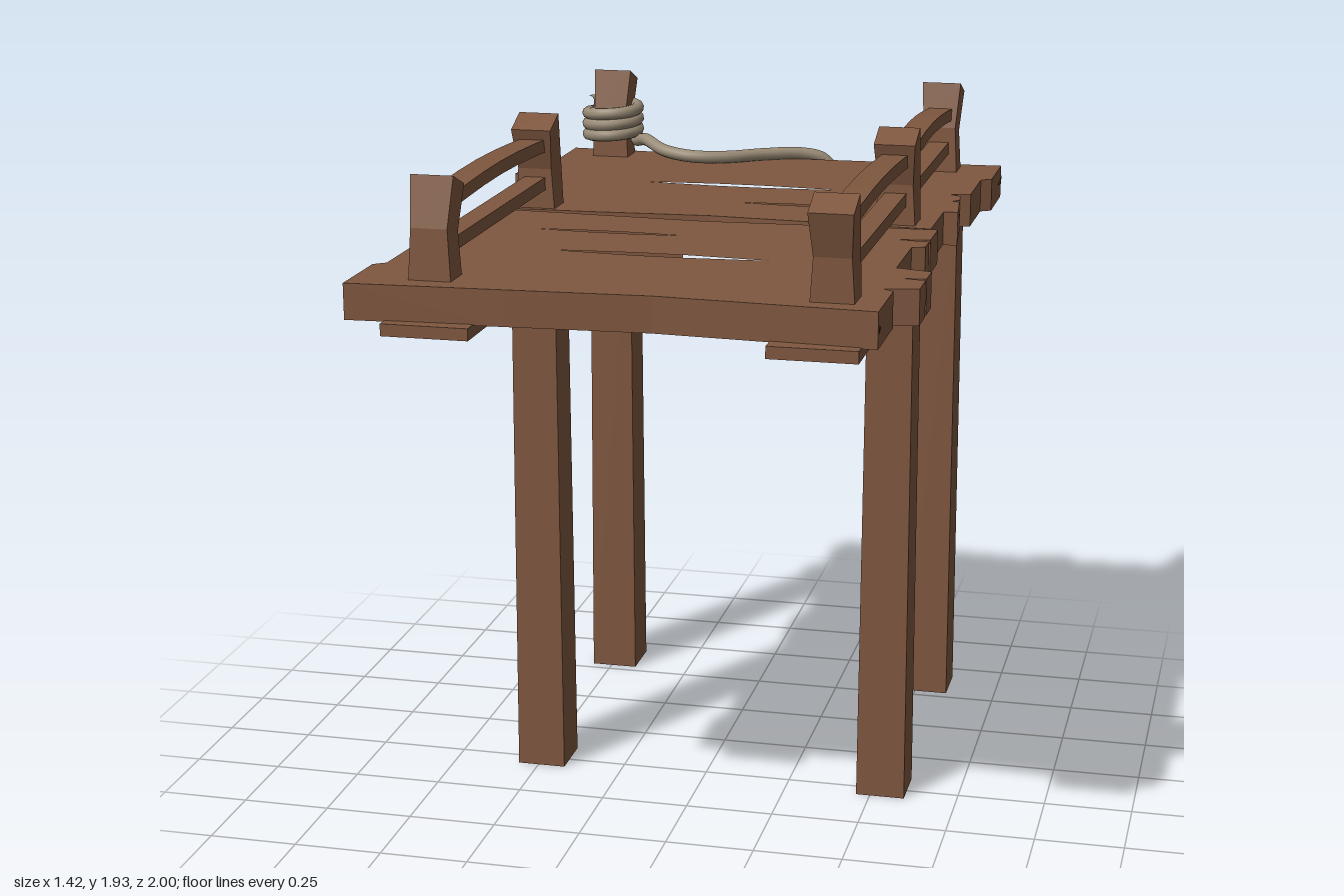
import * as THREE from 'three';

const wood = new THREE.MeshStandardMaterial({ color: 0x7f573f, flatShading: true });
wood.name = 'wood';
const ropeFiber = new THREE.MeshStandardMaterial({ color: 0x998b76 });
ropeFiber.name = 'rope fiber';
const crackWood = new THREE.MeshStandardMaterial({ color: 0x4a3022 });
crackWood.name = 'crack';

export function createModel() {
  const group = new THREE.Group();
  const add = (name, geometry, material = wood) => {
    const mesh = new THREE.Mesh(geometry, material);
    mesh.name = name;
    group.add(mesh);
    return mesh;
  };
  const path = (pts, Type = THREE.Shape) => new Type(pts.map(([a, b]) => new THREE.Vector2(a, b)));

  // Extrude a (z, y) side profile across x
  const sideProfile = (pts, x, width) => {
    const g = new THREE.ExtrudeGeometry(path(pts), { depth: width, bevelEnabled: false });
    g.translate(0, 0, -width / 2).rotateY(-Math.PI / 2).translate(x, 0, 0);
    return g;
  };

  // Deck panels: (x, z) outlines with ragged ends, split notches and slits
  const deckPanel = (name, outline, slits) => {
    const shape = path(outline.map(([x, z]) => [x, -z]));
    for (const [x0, x1, z, h] of slits) {
      const m = (x0 + x1) / 2, q = (x1 - x0) * 0.12;
      shape.holes.push(path([[x0, -z], [m - q, -z + h], [m + q, -z + h], [x1, -z], [m + q, -z - h], [m - q, -z - h]], THREE.Path));
    }
    const g = new THREE.ExtrudeGeometry(shape, { depth: 0.095, bevelEnabled: false });
    g.rotateX(-Math.PI / 2).translate(0, 1.572, 0);
    add(name, g);
  };
  deckPanel('backDeck', [
    [-0.65, -0.97], [-0.3, -0.955], [0, -0.94], [0.3, -0.95], [0.7, -0.97],
    [0.7, -0.75], [0.67, -0.73], [0.67, -0.51], [0.615, -0.49], [0.645, -0.475],
    [0.652, -0.41], [0.625, -0.4], [0.654, -0.39], [0.67, -0.245], [0.63, -0.24], [0.63, -0.005],
    [0.35, -0.02], [0, -0.042], [-0.35, -0.02], [-0.65, -0.01],
    [-0.65, -0.15], [-0.53, -0.158], [-0.65, -0.17], [-0.65, -0.22], [-0.615, -0.24], [-0.615, -0.485],
    [-0.71, -0.51], [-0.71, -0.6], [-0.65, -0.61], [-0.71, -0.62], [-0.71, -0.71], [-0.65, -0.73],
  ], [[-0.29, 0.28, -0.482, 0.016], [0.04, 0.4, -0.242, 0.01]]);
  deckPanel('frontDeck', [
    [-0.64, 0], [-0.35, 0.015], [0, 0.033], [0.35, 0.015], [0.65, 0],
    [0.65, 0.137], [0.56, 0.148], [0.65, 0.158], [0.65, 0.225], [0.615, 0.24], [0.615, 0.485],
    [0.71, 0.51], [0.71, 0.595], [0.65, 0.602], [0.71, 0.61], [0.71, 0.705], [0.62, 0.725], [0.65, 0.745],
    [0.65, 0.965], [0.4, 0.95], [0.08, 0.93], [-0.3, 0.95], [-0.71, 0.97],
    [-0.71, 0.75], [-0.68, 0.725], [-0.68, 0.51], [-0.625, 0.485], [-0.655, 0.47],
    [-0.66, 0.4], [-0.635, 0.39], [-0.662, 0.38], [-0.675, 0.235], [-0.64, 0.23],
  ], [[-0.42, -0.01, 0.232, 0.01], [-0.3, 0.28, 0.48, 0.016]]);

  // Thin split marks on the plank ends
  const crack = (x, y, z, length, turn) => {
    const g = new THREE.ShapeGeometry(path([[0, -0.013], [length, 0], [0, 0.013]]));
    const m = add('plankCrack', g, crackWood);
    m.position.set(x, y, z);
    m.rotation.y = turn;
  };
  crack(0.702, 1.625, -0.966, 0.1, Math.PI / 2 - Math.PI);
  crack(0.652, 1.622, 0.963, 0.03, Math.PI / 2);
  for (const m of group.children) if (m.name === 'plankCrack') m.material.side = THREE.DoubleSide;

  for (const x of [-0.49, 0.495]) {
    // Bearer beams beneath the deck
    const beam = new THREE.BoxGeometry(0.23, 0.032, 2);
    beam.translate(x, 1.559, 0);
    add('bearerBeam', beam);
    // Legs, slightly wider at the foot
    for (const z of [-0.015, -0.855]) {
      const leg = new THREE.BoxGeometry(0.14, 1.56, 0.145);
      const p = leg.attributes.position;
      for (let i = 0; i < p.count; i++) if (p.getY(i) > 0) {
        p.setX(i, p.getX(i) * 0.91);
        p.setZ(i, p.getZ(i) * 0.91);
      }
      leg.translate(x + (x > 0 ? 0.035 : 0), 0.78, z);
      add('leg', leg);
    }
  }

  // Railing posts with pinched waists and leaning heads
  const post = (name, x, z, lean) => {
    const pts = [[-0.046, 1.65], [0.046, 1.65], [0.046, 1.78], [0.08, 1.895], [-0.005, 1.93], [-0.04, 1.8]];
    const g = sideProfile(pts.map(([a, b]) => [z + a * lean, b]), x, 0.114);
    const p = g.attributes.position;
    for (let i = 0; i < p.count; i++) {
      const y = p.getY(i);
      if (y > 1.7 && y < 1.85) p.setX(i, x + (p.getX(i) - x) * 0.85);
    }
    g.computeVertexNormals();
    add(name, g);
  };
  post('frontRightPost', -0.505, 0.855, -1);
  post('middleRightPost', -0.505, -0.08, 1);
  post('backRightPost', -0.505, -0.895, -1);
  post('frontLeftPost', 0.525, 0.858, 1);
  post('middleLeftPost', 0.525, -0.08, 1);
  post('backLeftPost', 0.525, -0.88, -1);

  // Rails: bowed upper one, straight lower one
  const rails = (x, z0, z1, y0, bow, y1) => {
    const top = [], bottom = [];
    for (let i = 0; i <= 6; i++) {
      const t = i / 6, z = z0 + (z1 - z0) * t;
      const y = y0 + (y1 - y0) * t + bow * Math.sin(Math.PI * t);
      top.unshift([z, y + 0.018]);
      bottom.push([z, y - 0.018]);
    }
    add('upperRail', sideProfile([...bottom, ...top], x, 0.07));
    const low = new THREE.BoxGeometry(0.06, 0.036, z1 - z0);
    low.translate(x, 1.738, (z0 + z1) / 2);
    add('lowerRail', low);
  };
  rails(-0.505, -0.07, 0.85, 1.845, 0.016, 1.85);
  rails(0.525, -0.07, 0.85, 1.845, 0.016, 1.85);
  rails(0.525, -0.88, -0.08, 1.835, 0.022, 1.842);

  // Rope: coiled on the back right post, then trailing over the back edge
  const pts = [];
  for (let i = 0; i <= 40; i++) {
    const t = i / 40, a = t * Math.PI * 7;
    pts.push(new THREE.Vector3(-0.505 - 0.077 * Math.cos(a), 1.83 - 0.115 * t, -0.89 - 0.077 * Math.sin(a)));
  }
  for (const p of [[-0.39, 1.725, -0.85], [-0.32, 1.703, -0.8], [-0.23, 1.692, -0.78], [-0.13, 1.688, -0.81],
    [-0.02, 1.687, -0.89], [0.08, 1.683, -0.95], [0.145, 1.665, -0.975], [0.178, 1.62, -0.982], [0.183, 1.51, -0.98]])
    pts.push(new THREE.Vector3(...p));
  add('rope', new THREE.TubeGeometry(new THREE.CatmullRomCurve3(pts), 240, 0.019, 10), ropeFiber);
  const end = new THREE.CircleGeometry(0.019, 10);
  end.rotateX(Math.PI / 2).translate(0.183, 1.51, -0.98);
  add('ropeEnd', end, ropeFiber);

  return group;
}
